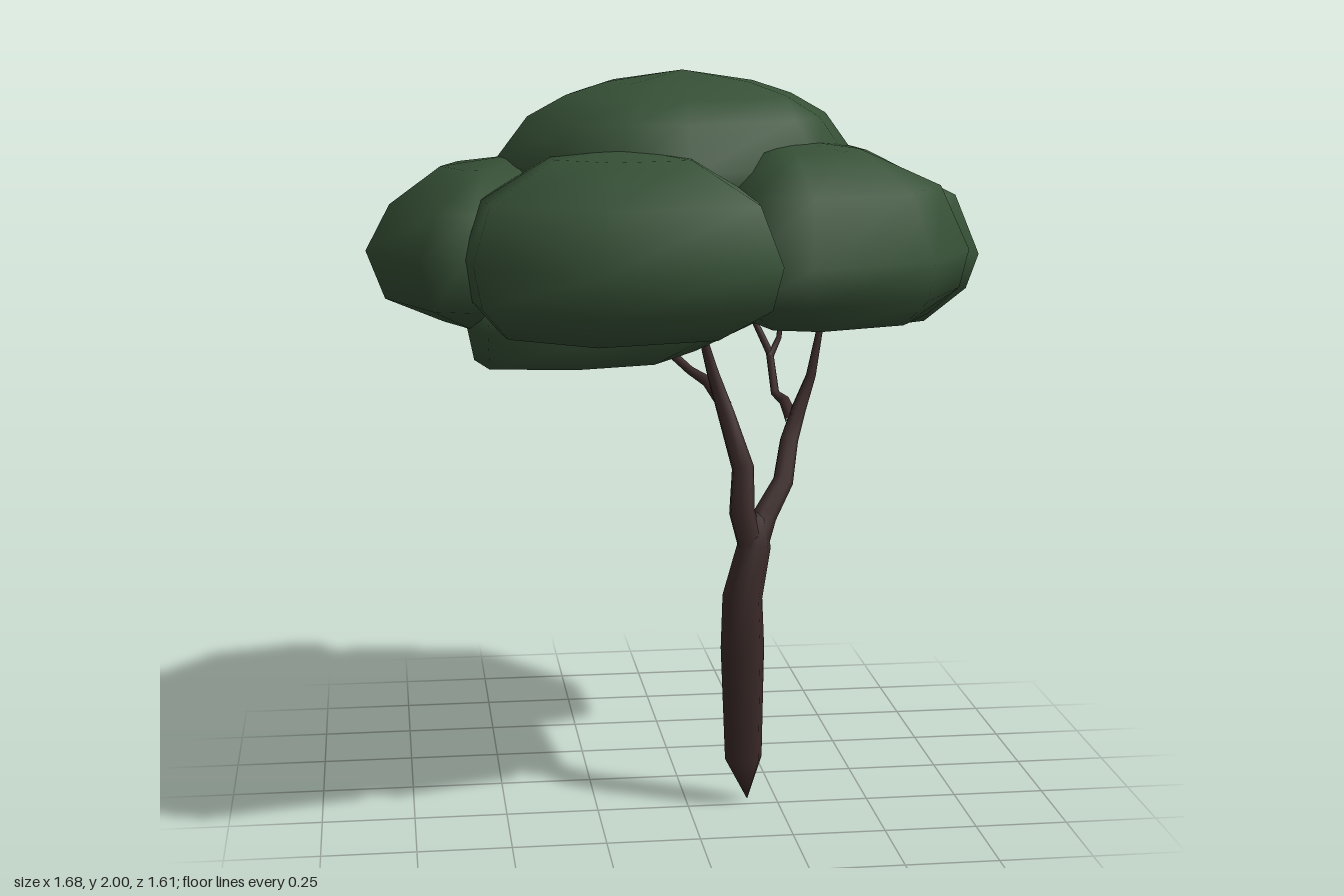
import * as THREE from 'three';
import { mergeVertices } from 'three/addons/utils/BufferGeometryUtils.js';

const leafMaterial = new THREE.MeshStandardMaterial({ color: 0x365036 });
const barkMaterial = new THREE.MeshStandardMaterial({ color: 0x3a2a28 });

// Skin a list of equal-sized rings, each running counter-clockwise around the direction of travel.
function loft(rings) {
  const n = rings[0].length;
  const index = [];
  for (let i = 0; i < rings.length - 1; i++) {
    for (let j = 0; j < n; j++) {
      const a = i * n + j, b = i * n + (j + 1) % n;
      index.push(a, b, b + n, a, b + n, a + n);
    }
  }
  let geometry = new THREE.BufferGeometry().setFromPoints(rings.flat());
  geometry.setIndex(index);
  geometry = mergeVertices(geometry, 1e-4);
  geometry.computeVertexNormals();
  return geometry;
}

// Leaf clump: a plan outline [x, z] scaled about its middle by a profile of [scale, y, lean],
// where lean moves that level towards the middle of the tree.
function clump(name, outline, profile) {
  const cx = outline.reduce((s, p) => s + p[0], 0) / outline.length;
  const cz = outline.reduce((s, p) => s + p[1], 0) / outline.length;
  const angle = (p) => Math.atan2(cz - p[1], p[0] - cx);
  const sorted = [...outline].sort((p, q) => angle(p) - angle(q));
  const rings = profile.map(([s, y, lean = 0]) => sorted.map(([x, z]) =>
    new THREE.Vector3(cx * (1 - lean) + (x - cx) * s, y, cz * (1 - lean) + (z - cz) * s)));
  const mesh = new THREE.Mesh(loft(rings), leafMaterial);
  mesh.name = name;
  return mesh;
}

// Tapering limb through points [x, y, z, radius].
function limb(name, points, sides = 7) {
  const path = points.map((p) => new THREE.Vector3(p[0], p[1], p[2]));
  const rings = path.map((p, i) => {
    const t = path[Math.min(i + 1, path.length - 1)].clone().sub(path[Math.max(i - 1, 0)]).normalize();
    const u = new THREE.Vector3(1, 0, 0).addScaledVector(t, -t.x).normalize();
    const w = t.clone().cross(u);
    return Array.from({ length: sides }, (_, j) => {
      const a = (j / sides) * Math.PI * 2;
      return p.clone().addScaledVector(u, Math.cos(a) * points[i][3]).addScaledVector(w, Math.sin(a) * points[i][3]);
    });
  });
  const mesh = new THREE.Mesh(loft(rings), barkMaterial);
  mesh.name = name;
  return mesh;
}

export function createModel() {
  const tree = new THREE.Group();
  tree.name = 'tree';

  // Canopy: a crown and a low clump in the middle, ringed by five side clumps
  const canopy = new THREE.Group();
  canopy.name = 'canopy';
  canopy.add(
    clump('crownClump',
      [[0.08, -0.46], [0.22, -0.44], [0.38, -0.34], [0.5, -0.03], [0.44, 0.2], [0.34, 0.32], [-0.03, 0.49],
        [-0.2, 0.43], [-0.38, 0.4], [-0.5, 0.03], [-0.43, -0.24], [-0.25, -0.41]],
      [[0, 1.5], [0.6, 1.52], [0.95, 1.65], [1, 1.76], [0.82, 1.88], [0.62, 1.935], [0.4, 1.97], [0, 2]]),
    clump('lowClump',
      [[-0.55, 0.43], [-0.6, 0.2], [-0.56, -0.1], [-0.25, -0.24], [0.12, -0.2], [0.3, 0.1], [0.1, 0.4], [-0.2, 0.48]],
      [[0, 1.25, -0.5], [0.66, 1.26, -0.5], [0.97, 1.36], [0.95, 1.45], [0, 1.5]]),
    clump('leftClump',
      [[-0.47, -0.45], [-0.73, -0.19], [-0.845, 0.14], [-0.71, 0.43], [-0.6, 0.47], [-0.35, 0.42],
        [-0.1, 0.3], [-0.05, 0], [-0.15, -0.3], [-0.38, -0.44]],
      [[0, 1.32], [0.5, 1.34], [0.88, 1.41], [1, 1.54], [0.84, 1.66], [0.45, 1.755, -0.05], [0, 1.78]]),
    clump('backClump',
      [[0.11, -0.81], [-0.16, -0.73], [-0.41, -0.42], [-0.42, -0.1], [-0.2, 0.05], [0.1, 0], [0.24, -0.35], [0.23, -0.6]],
      [[0, 1.38, 0.2], [0.6, 1.42, 0.15], [0.92, 1.52], [1, 1.58], [0.88, 1.7], [0.5, 1.82, 0.2], [0, 1.88, 0.35]]),
    clump('backRightClump',
      [[0.2, -0.77], [0.56, -0.71], [0.8, -0.36], [0.84, 0.02], [0.7, 0.1], [0.45, 0.1], [0.15, 0], [0, -0.3], [0.06, -0.6]],
      [[0, 1.27, -0.15], [0.55, 1.275, -0.2], [0.91, 1.39, -0.03], [1, 1.49], [0.86, 1.65], [0.45, 1.77, 0.15], [0, 1.8, 0.25]]),
    clump('frontRightClump',
      [[0.25, 0.69], [0.59, 0.57], [0.74, 0.31], [0.72, 0.1], [0.5, 0.03], [0.2, 0.06], [0.01, 0.33], [0.08, 0.63]],
      [[0, 1.36], [0.68, 1.37], [0.93, 1.44], [1, 1.54], [0.81, 1.71, 0.03], [0.4, 1.805, 0.2], [0, 1.83, 0.3]]),
    clump('frontClump',
      [[-0.27, 0.8], [-0.58, 0.57], [-0.6, 0.43], [-0.56, 0.2], [-0.3, 0.1], [0.05, 0.2], [0.2, 0.4], [0.18, 0.69]],
      [[0, 1.35, -0.1], [0.68, 1.365, -0.11], [0.94, 1.44], [1, 1.55], [0.87, 1.7], [0.45, 1.8, 0.1], [0, 1.82, 0.2]]),
  );

  // Trunk with pointed foot, forking into two boughs with twigs
  const wood = new THREE.Group();
  wood.name = 'wood';
  wood.add(
    limb('trunk', [[0.17, 0, 0.21, 0], [0.155, 0.13, 0.235, 0.051], [0.15, 0.45, 0.24, 0.06],
      [0.15, 0.59, 0.235, 0.055], [0.185, 0.73, 0.215, 0.046], [0.19, 0.8, 0.2, 0.025], [0.19, 0.82, 0.2, 0]], 8),
    limb('leftBough', [[0.185, 0.7, 0.22, 0.04], [0.15, 0.82, 0.215, 0.036], [0.155, 0.94, 0.195, 0.031],
      [0.115, 1.08, 0.155, 0.024], [0.08, 1.19, 0.145, 0.017], [0.06, 1.26, 0.15, 0.013], [0.04, 1.35, 0.16, 0.007]]),
    limb('leftTwig', [[0.115, 1.1, 0.15, 0.02], [0.07, 1.165, 0.115, 0.016], [0.03, 1.185, 0.05, 0.012],
      [-0.02, 1.23, 0.015, 0.012], [-0.09, 1.31, 0, 0.007]]),
    limb('rightBough', [[0.18, 0.72, 0.22, 0.04], [0.22, 0.8, 0.17, 0.034], [0.28, 0.88, 0.11, 0.029],
      [0.31, 0.98, 0.03, 0.026], [0.345, 1.06, -0.015, 0.021], [0.38, 1.15, -0.025, 0.014], [0.42, 1.34, -0.05, 0.007]]),
    limb('rightTwig', [[0.325, 1.03, 0, 0.02], [0.315, 1.07, -0.07, 0.016], [0.295, 1.085, -0.12, 0.012],
      [0.29, 1.19, -0.19, 0.011], [0.22, 1.34, -0.22, 0.007]]),
    limb('rightTwigTip', [[0.29, 1.18, -0.18, 0.01], [0.32, 1.23, -0.21, 0.008], [0.33, 1.31, -0.225, 0.006]]),
  );

  tree.add(canopy, wood);
  return tree;
}
